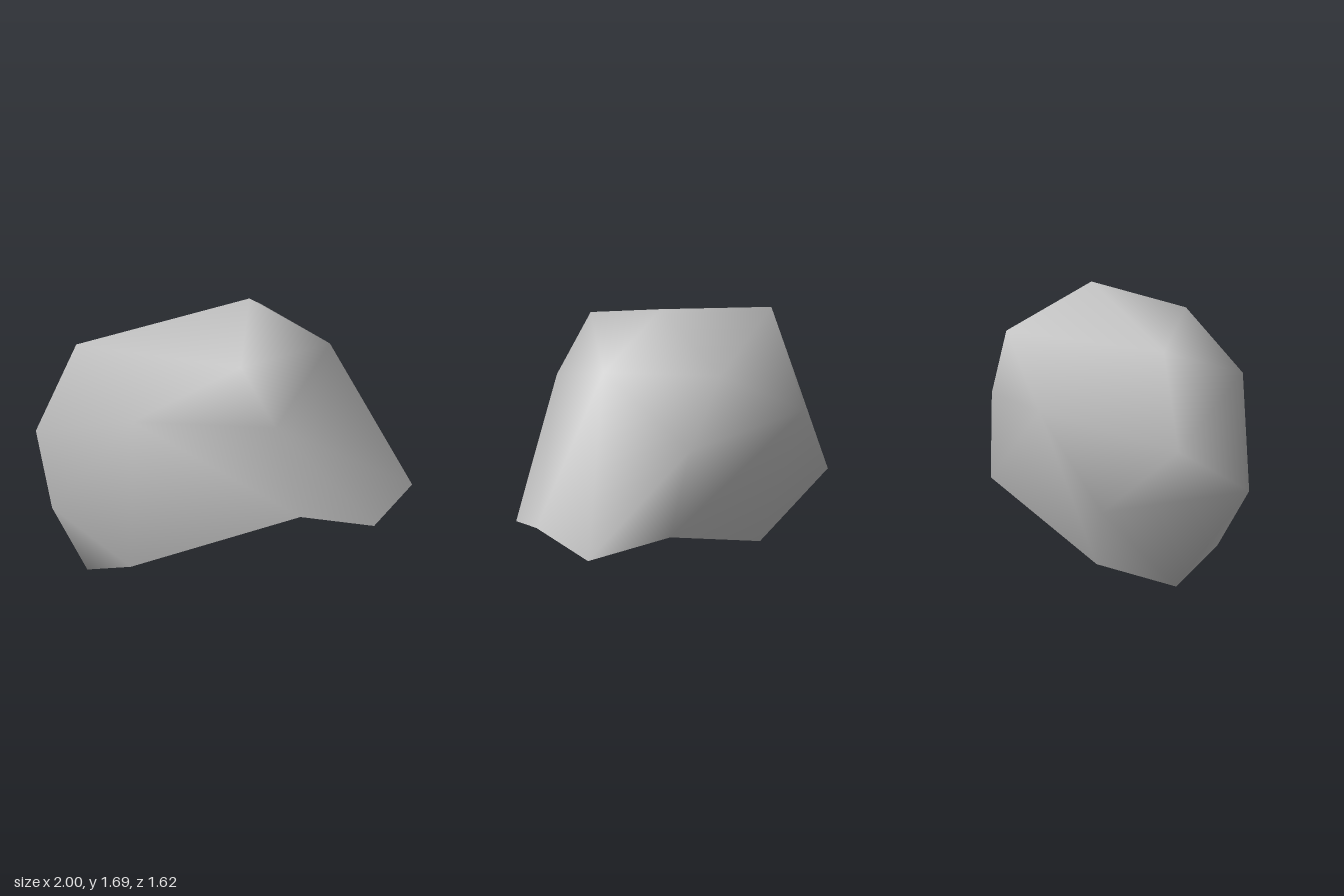
import * as THREE from 'three';

// Corner points of the boulder shell
const points = {
  // open lower rim, counter-clockwise seen from above
  A: [-0.66, 0, 0.38], H: [-0.25, 0.19, 0.58], B: [0.73, 0.62, 0.29], C: [0.98, 0.45, -0.14],
  D: [1, 0.56, -0.55], E: [0.74, 0.38, -0.72], F: [0.26, 0.5, -0.81], G: [-0.55, 0.11, -0.1],
  // flanks
  W: [-0.65, 0.57, 0.81], X: [-0.16, 1.2, 0.72], K: [0.57, 1.16, 0.3], R: [0.13, 1.02, -0.79],
  Y: [-0.71, 1.03, -0.42], S: [-1, 0.48, -0.02], U: [-0.98, 0.84, 0.43],
  // crown
  P: [-0.77, 1.4, 0.32], Z: [0.35, 1.51, 0.33], T: [0.1, 1.69, -0.2],
  N: [0.53, 1.42, -0.4], M: [-0.1, 1.42, -0.68],
};

// Closed fans: each centre point is joined to the loop around it
const fans = {
  T: 'ZNMP',    // crown
  W: 'AHXUS',   // front bulge
  K: 'BCDNZX',  // side shoulder
  Y: 'GSUPMRF', // back shoulder
};

// Single facets linking the fans
const links = ['HBX', 'DEN', 'EFR', 'ERN', 'NRM', 'GAS', 'UXP', 'XZP'];

export function createModel() {
  const names = Object.keys(points);
  const index = [];
  const addFace = (corners) => index.push(...[...corners].map((c) => names.indexOf(c)));

  for (const [centre, loop] of Object.entries(fans)) {
    for (let i = 0; i < loop.length; i++) {
      addFace(loop[i] + loop[(i + 1) % loop.length] + centre);
    }
  }
  links.forEach(addFace);

  // Shared corners give smooth shading over the whole shell
  const geometry = new THREE.BufferGeometry();
  geometry.setAttribute('position', new THREE.Float32BufferAttribute(Object.values(points).flat(), 3));
  geometry.setIndex(index);
  geometry.computeVertexNormals();

  const stone = new THREE.MeshStandardMaterial({ color: 0xc4c4c4, side: THREE.DoubleSide });
  stone.name = 'grey stone';

  const boulder = new THREE.Mesh(geometry, stone);
  boulder.name = 'boulderShell';

  const group = new THREE.Group();
  group.name = 'boulder';
  group.add(boulder);
  return group;
}
